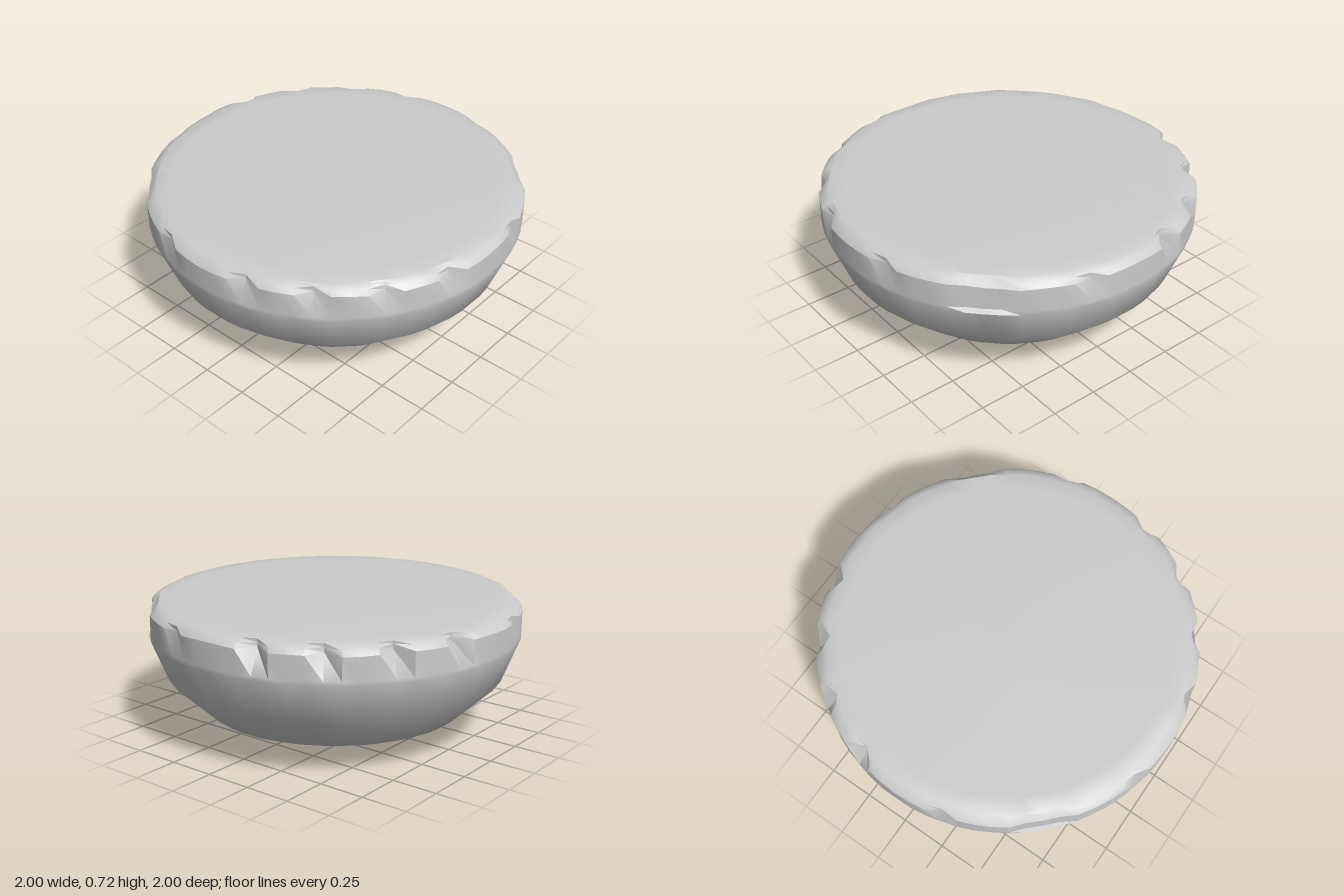
import * as THREE from 'three';
import { mergeVertices, toCreasedNormals } from 'three/addons/utils/BufferGeometryUtils.js';

const SIDES = 24, SEGMENTS = 72, STEP = 360 / SEGMENTS;

// Degrees around y from +z towards +x, with the depth of the cut
const notches = [
  ...[105, 125, 145, 165].map(a => [a, 0.06]), // deep chips, back
  ...[-15, -35, -55, -75].map(a => [a, 0.03]), // shallow nicks, front
  ...[15, 75].map(a => [a, 0.015]),
  ...[-105, -165].map(a => [a, 0.015]),
];
const flats = [45, -135]; // recessed flat panels below the rim

const gap = (a, b) => Math.abs(((a - b + 540) % 360) - 180);

export function createModel() {
  const group = new THREE.Group();

  // Closed bowl section: rounded underside, short wall, soft rim, flat top
  const profile = [
    [0, 0], [0.14, 0.003], [0.4, 0.028], [0.54, 0.058], [0.71, 0.12], [0.91, 0.31],
    [0.998, 0.53], [1, 0.55], [1, 0.675], [0.975, 0.7], [0.94, 0.717], [0.86, 0.72], [0, 0.72],
  ].map(([r, y]) => new THREE.Vector2(r, y));
  const raw = new THREE.LatheGeometry(profile, SEGMENTS);
  raw.deleteAttribute('normal');
  raw.deleteAttribute('uv');
  const geometry = mergeVertices(raw, 1e-4);

  const p = geometry.attributes.position;
  for (let i = 0; i < p.count; i++) {
    const x = p.getX(i), z = p.getZ(i);
    let y = p.getY(i), r = Math.hypot(x, z);
    if (r < 0.01) continue;
    const angle = Math.atan2(x, z), deg = THREE.MathUtils.radToDeg(angle);

    // Straight outline edges, centred on the axes
    const side = 2 * Math.PI / SIDES;
    const local = angle - Math.round(angle / side) * side;
    const onRim = y > 0.6 && r > 0.9;
    r *= Math.cos(side / 2) / Math.cos(local) * 1.0086;
    r = Math.min(r, 1);

    // Shallow panels on two opposite sides
    if (y > 0.54 && r > 0.95 && flats.some(a => gap(deg, a) < 9)) r -= 0.018;

    // Chipped and slightly uneven rim
    if (onRim) {
      for (const [a, depth] of notches) {
        if (gap(deg, a) < STEP * 0.4) r = Math.min(r, 0.985 - depth);
      }
      if (y < 0.71) y += 0.006 * Math.sin(angle * 9) * Math.cos(angle * 4);
    }
    p.setXYZ(i, r * Math.sin(angle), y, r * Math.cos(angle));
  }

  const bowl = new THREE.Mesh(
    toCreasedNormals(geometry, THREE.MathUtils.degToRad(38)),
    new THREE.MeshStandardMaterial({ color: 0xcccccc }),
  );
  bowl.name = 'chippedBowl';
  group.add(bowl);
  return group;
}
